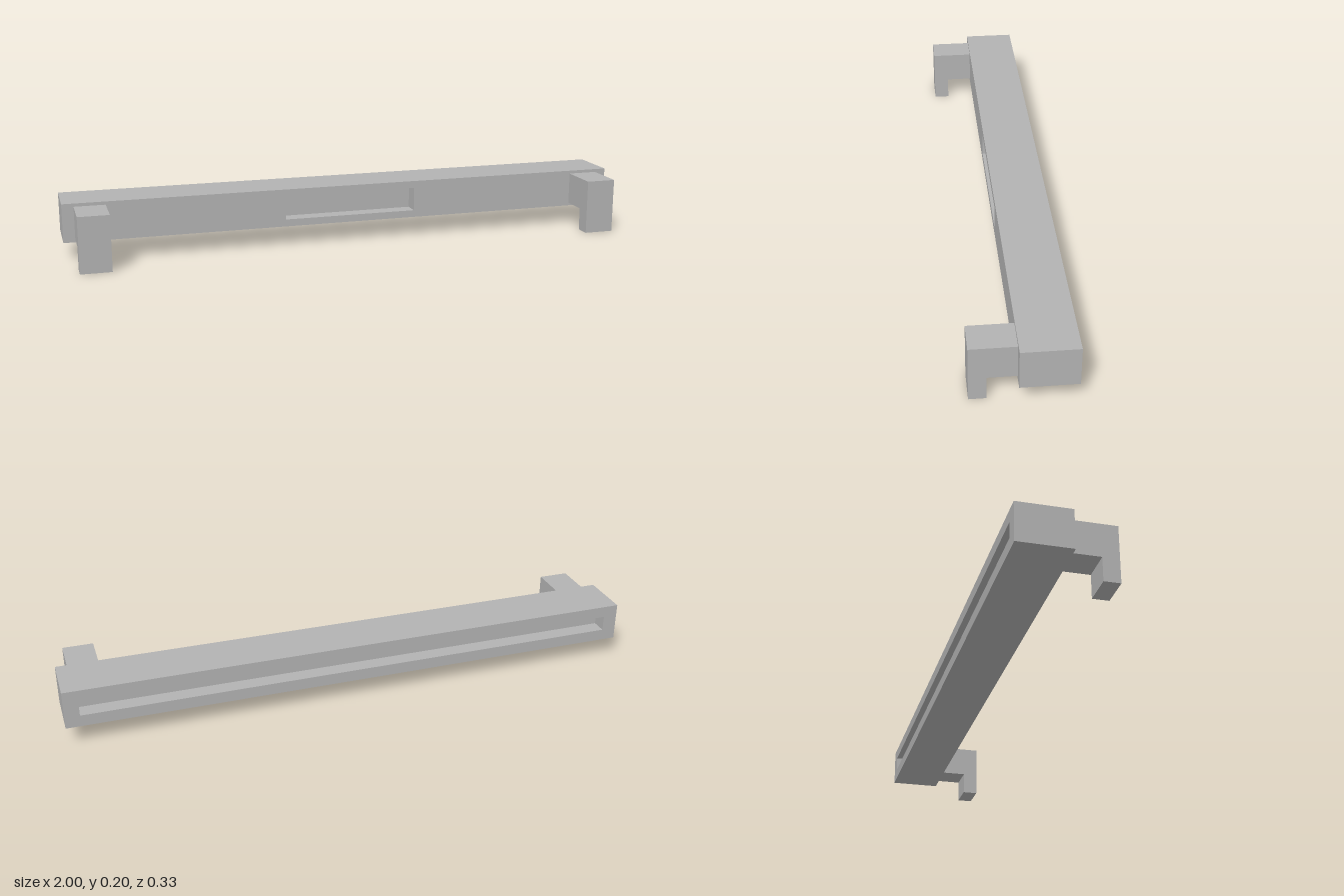
import * as THREE from 'three';

const grey = new THREE.MeshStandardMaterial({ color: 0xb2b2b2 });
grey.name = 'plain grey';

const WIDTH = 2, BOTTOM = 0.07, TOP = 0.203, BACK = -0.163, FRONT = 0.017;
const HEIGHT = TOP - BOTTOM, MID_Y = (TOP + BOTTOM) / 2;

function addMesh(parent, name, geometry) {
  const mesh = new THREE.Mesh(geometry, grey);
  mesh.name = name;
  parent.add(mesh);
  return mesh;
}

// Box without some of its faces; keeps the first `count` of +x -x +y -y +z -z
function partialBox(w, h, d, count) {
  const box = new THREE.BoxGeometry(w, h, d);
  box.setIndex(Array.from(box.index.array).slice(0, count * 6));
  box.clearGroups();
  return box;
}

// Flat face at z = 0 facing +z, with a rectangular pocket sunk into it
function recessedFace(name, w, h, depth) {
  const group = new THREE.Group();
  group.name = name;
  const rect = (target, a, b) => {
    target.moveTo(-a / 2, -b / 2);
    target.lineTo(a / 2, -b / 2);
    target.lineTo(a / 2, b / 2);
    target.lineTo(-a / 2, b / 2);
    target.closePath();
    return target;
  };
  const shape = rect(new THREE.Shape(), WIDTH, HEIGHT);
  shape.holes.push(rect(new THREE.Path(), w, h));
  addMesh(group, name + 'Rim', new THREE.ShapeGeometry(shape));

  // Box turned inside out, open towards +z
  const pocket = partialBox(w, h, depth, 5);
  pocket.scale(-1, -1, -1);
  pocket.computeVertexNormals();
  pocket.translate(0, 0, -depth / 2);
  addMesh(group, name + 'Pocket', pocket);
  return group;
}

export function createModel() {
  const model = new THREE.Group();
  model.name = 'slottedBar';

  // Long bar: outer sleeve, then front and back faces with their recesses
  const sleeve = addMesh(model, 'barSleeve', partialBox(WIDTH, HEIGHT, FRONT - BACK, 4));
  sleeve.position.set(0, MID_Y, (FRONT + BACK) / 2);

  const front = recessedFace('frontFace', 0.475, 0.083, 0.055);
  front.position.set(0, MID_Y, FRONT);
  model.add(front);

  const back = recessedFace('backFace', 1.9, 0.053, 0.055);
  back.position.set(0, MID_Y, BACK);
  back.rotation.y = Math.PI;
  model.add(back);

  // L-shaped brackets: profile drawn as (z, y) and extruded along x
  const profile = new THREE.Shape([
    [FRONT, 0.08], [0.109, 0.08], [0.109, 0], [0.163, 0], [0.163, 0.192], [FRONT, 0.192],
  ].map(([z, y]) => new THREE.Vector2(-z, y)));
  const bracket = new THREE.ExtrudeGeometry(profile, { depth: 0.105, bevelEnabled: false });
  bracket.translate(0, 0, -0.0525);
  bracket.rotateY(Math.PI / 2);
  for (const [side, name] of [[1, 'leftBracket'], [-1, 'rightBracket']]) {
    addMesh(model, name, bracket).position.x = side * 0.908;
  }
  return model;
}
